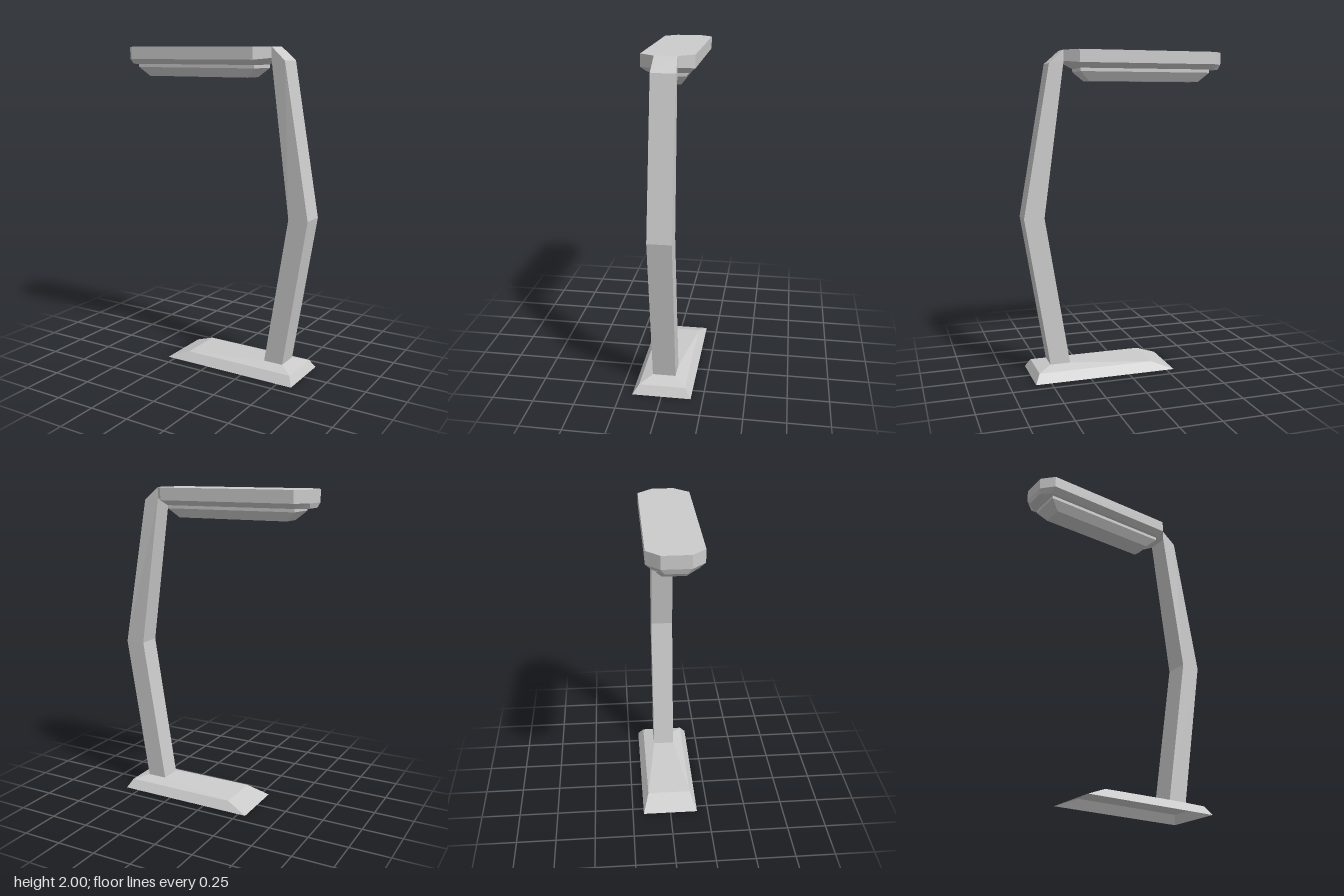
import * as THREE from 'three';

const material = new THREE.MeshStandardMaterial({ color: 0xcccccc, flatShading: true, side: THREE.DoubleSide });

// Skin a stack of rings (bottom to top, counter-clockwise from above), with optional caps
function loft(name, rings, capBottom = false, capTop = false) {
  const pos = [];
  const tri = (a, b, c) => pos.push(...a, ...b, ...c);
  for (let k = 0; k < rings.length - 1; k++) {
    const lo = rings[k], hi = rings[k + 1], n = lo.length;
    for (let i = 0; i < n; i++) {
      const j = (i + 1) % n;
      tri(lo[i], lo[j], hi[j]);
      tri(lo[i], hi[j], hi[i]);
    }
  }
  const first = rings[0], last = rings[rings.length - 1];
  for (let i = 1; i < first.length - 1; i++) {
    if (capBottom) tri(first[0], first[i + 1], first[i]);
    if (capTop) tri(last[0], last[i], last[i + 1]);
  }
  const geo = new THREE.BufferGeometry();
  geo.setAttribute('position', new THREE.Float32BufferAttribute(pos, 3));
  geo.computeVertexNormals();
  const mesh = new THREE.Mesh(geo, material);
  mesh.name = name;
  return mesh;
}

// Four-sided ring between two (x, y) points, z half-widths za and zb
const strip = (xa, ya, xb, yb, za, zb = za) => [[xa, ya, za], [xb, yb, zb], [xb, yb, -zb], [xa, ya, -za]];
const rect = (x0, x1, y, z) => strip(x0, y, x1, y, z);

// Elongated ring with cut corners at the tip and a narrowing neck
const headRing = (y, neckY, tipX, tipZ, cutX, sideZ, shoulderX, neckX, neckZ) => {
  const half = [[cutX, y, sideZ], [shoulderX, y, sideZ], [neckX, neckY, neckZ]];
  const mirror = half.map(([x, yy, z]) => [x, yy, -z]).reverse();
  return [...half, ...mirror, [tipX, y, -tipZ], [tipX, y, tipZ]];
};

export function createModel() {
  const group = new THREE.Group();
  group.name = 'deskLamp';

  // Hollow wedge base rising to the foot of the arm
  group.add(loft('base', [
    rect(-0.30, 0.595, 0, 0.178),
    rect(-0.16, 0.565, 0.055, 0.14),
    rect(0.355, 0.48, 0.08, 0.07),
  ]));

  // Bent arm, folding over at the top to meet the head
  group.add(loft('arm', [
    strip(0.355, 0.08, 0.48, 0.08, 0.07),
    strip(0.505, 1.0, 0.63, 1.0, 0.072),
    strip(0.375, 1.935, 0.465, 1.92, 0.065, 0.072),
    strip(0.375, 1.935, 0.375, 2.0, 0.065),
  ]));

  // Head housing with bevelled underside
  group.add(loft('head', [
    headRing(1.895, 1.895, -0.625, 0.06, -0.565, 0.12, 0.27, 0.295, 0.06),
    headRing(1.925, 1.935, -0.635, 0.08, -0.565, 0.155, 0.30, 0.375, 0.065),
    headRing(2.0, 2.0, -0.635, 0.08, -0.565, 0.155, 0.30, 0.375, 0.065),
  ], true, true));

  // Tapered light panel below the head
  group.add(loft('lightPanel', [
    rect(-0.49, 0.22, 1.82, 0.065),
    rect(-0.55, 0.28, 1.875, 0.10),
    rect(-0.55, 0.28, 1.895, 0.10),
  ], true, false));

  return group;
}
